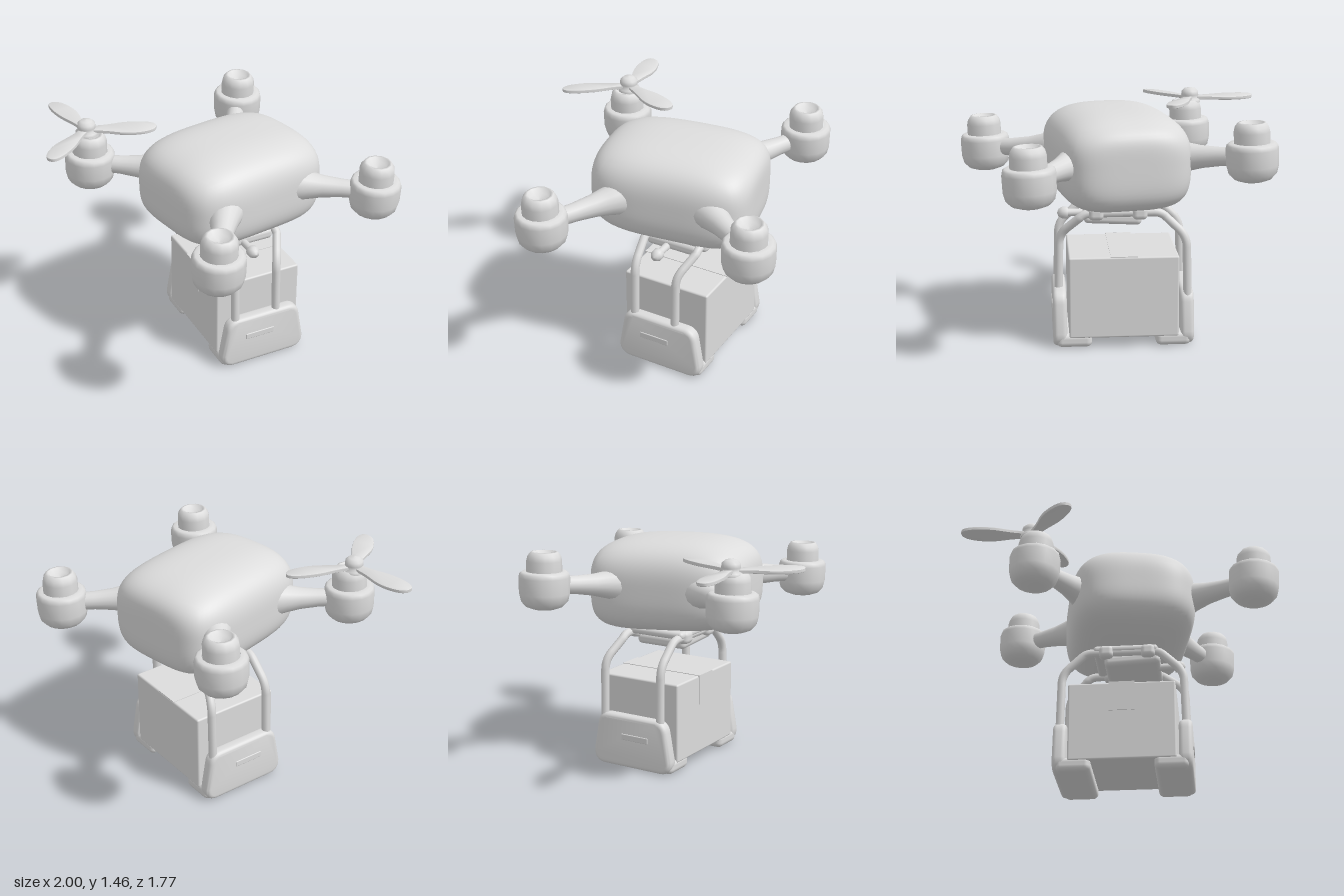
import * as THREE from 'three';
import { mergeVertices, toCreasedNormals } from 'three/addons/utils/BufferGeometryUtils.js';
import { RoundedBoxGeometry } from 'three/addons/geometries/RoundedBoxGeometry.js';

const V2 = (x, y) => new THREE.Vector2(x, y);
const V3 = (x, y, z) => new THREE.Vector3(x, y, z);

export function createModel() {
  const model = new THREE.Group();
  const grey = new THREE.MeshStandardMaterial({ color: 0xdcdcdc });
  grey.name = 'light grey';

  const add = (parent, name, geo, x = 0, y = 0, z = 0) => {
    const mesh = new THREE.Mesh(geo, grey);
    mesh.name = name;
    mesh.position.set(x, y, z);
    parent.add(mesh);
    return mesh;
  };
  const lathe = (pts, seg) => new THREE.LatheGeometry(pts.map(p => V2(p[0], p[1])), seg);

  // Body: a cube pushed out to a soft superellipsoid, rounder on top, belly sloping down to the tail
  let body = new THREE.BoxGeometry(2, 2, 2, 20, 20, 20);
  body.deleteAttribute('normal');
  body.deleteAttribute('uv');
  body = mergeVertices(body);
  const pos = body.attributes.position;
  for (let i = 0; i < pos.count; i++) {
    const p = V3().fromBufferAttribute(pos, i).normalize();
    const [ax, ay, az] = [Math.abs(p.x), Math.abs(p.y), Math.abs(p.z)];
    const n = p.y > 0 ? 2.9 : 3.8;
    const m = p.z > 0 ? 3.8 : 4.6;
    const cross = Math.pow(ax ** n + ay ** n, m / n);
    p.divideScalar(Math.pow(cross + az ** m, 1 / m));
    const slope = p.y > 0 ? p.y * (0.012 * p.z - 0.03 * p.z * p.z) : -p.y * 0.025 * p.z;
    pos.setXYZ(i, p.x * 0.407, p.y * 0.293 + slope, p.z * 0.515);
  }
  body.computeVertexNormals();
  add(model, 'body', body, 0.124, 1.177, -0.105);

  // Motors on flared arms: motor x, base y, z, then arm root x, z
  const motors = [
    ['frontLeft', 0.83, 0.985, 0.52, 0.38, 0.11],
    ['frontRight', -0.54, 1.035, 0.49, -0.13, 0.1],
    ['backLeft', 0.78, 1.005, -0.73, 0.38, -0.32],
    ['backRight', -0.57, 1.08, -0.72, -0.12, -0.32],
  ];
  const cup = lathe([[0, 0], [0.07, 0.002], [0.115, 0.018], [0.145, 0.05], [0.157, 0.1], [0.159, 0.2],
    [0.152, 0.225], [0.138, 0.235], [0.112, 0.236]], 16);
  const cap = lathe([[0.11, 0.22], [0.11, 0.3], [0.103, 0.33], [0.085, 0.355], [0.07, 0.357],
    [0.055, 0.33], [0, 0.32]], 12);
  for (const [side, x, y, z, rx, rz] of motors) {
    const motor = new THREE.Group();
    motor.name = side + 'Motor';
    motor.position.set(x, y, z);
    motor.rotation.z = -0.04;
    add(motor, 'motorCup', cup);
    add(motor, 'motorCap', cap);
    model.add(motor);

    const from = V3(rx, 1.175, rz), dir = V3(x, y + 0.15, z).sub(from);
    const len = dir.length();
    const arm = add(model, side + 'Arm', lathe([[0.125, 0], [0.108, len * 0.18], [0.088, len * 0.3],
      [0.07, len * 0.45], [0.058, len * 0.65], [0.052, len]], 16), from.x, from.y, from.z);
    arm.quaternion.setFromUnitVectors(V3(0, 1, 0), dir.normalize());
  }

  // Propeller with three blades
  const propeller = new THREE.Group();
  propeller.name = 'propeller';
  propeller.position.set(-0.56, 1.405, 0.488);
  add(propeller, 'propellerHub', lathe([[0.07, -0.03], [0.07, -0.01], [0.052, 0], [0.058, 0.02], [0.056, 0.045],
    [0.035, 0.064], [0, 0.07]], 16));
  const outline = new THREE.Shape();
  outline.moveTo(0.02, -0.025);
  outline.bezierCurveTo(0.16, -0.03, 0.19, -0.068, 0.29, -0.066);
  outline.bezierCurveTo(0.38, -0.06, 0.435, -0.04, 0.435, 0.01);
  outline.bezierCurveTo(0.43, 0.06, 0.31, 0.06, 0.25, 0.056);
  outline.bezierCurveTo(0.17, 0.05, 0.14, 0.025, 0.02, 0.025);
  const blade = toCreasedNormals(new THREE.ExtrudeGeometry(outline, {
    depth: 0.01, bevelSize: 0.004, bevelThickness: 0.006, bevelSegments: 2, curveSegments: 10,
  }).translate(0, 0, -0.005).rotateX(-Math.PI / 2 + 0.08), 0.7);
  for (let i = 0; i < 3; i++) {
    add(propeller, 'propellerBlade', blade).rotation.y = Math.PI - 0.05 + i * Math.PI * 2 / 3;
  }
  model.add(propeller);

  // Cargo assembly, turned slightly under the body
  const cargo = new THREE.Group();
  cargo.name = 'cargo';
  cargo.position.set(0.1, 0, -0.175);
  cargo.rotation.y = -0.19;
  model.add(cargo);

  // Parcel with tape over the top and down the front
  add(cargo, 'parcel', new RoundedBoxGeometry(0.68, 0.515, 0.585, 2, 0.012), 0, 0.333, 0);
  add(cargo, 'frontTape', new THREE.BoxGeometry(0.165, 0.195, 0.008), 0, 0.497, 0.294);
  add(cargo, 'topTape', new THREE.BoxGeometry(0.165, 0.006, 0.585), 0, 0.591, 0);

  // Side clamps: a rounded, tapering wall with a foot reaching under the parcel
  const wallShape = new THREE.Shape();
  wallShape.moveTo(-0.21, 0.04);
  wallShape.lineTo(0.21, 0.04);
  wallShape.quadraticCurveTo(0.268, 0.04, 0.264, 0.1);
  wallShape.lineTo(0.232, 0.28);
  wallShape.quadraticCurveTo(0.225, 0.33, 0.18, 0.33);
  wallShape.lineTo(-0.18, 0.33);
  wallShape.quadraticCurveTo(-0.225, 0.33, -0.232, 0.28);
  wallShape.lineTo(-0.264, 0.1);
  wallShape.quadraticCurveTo(-0.268, 0.04, -0.21, 0.04);
  const wall = toCreasedNormals(new THREE.ExtrudeGeometry(wallShape, {
    depth: 0.03, bevelSize: 0.028, bevelThickness: 0.028, bevelSegments: 5, curveSegments: 6,
  }).translate(0, 0, -0.015).rotateY(-Math.PI / 2), 0.7);
  for (const s of [1, -1]) {
    const name = s > 0 ? 'left' : 'right';
    add(cargo, name + 'ClampWall', wall, s * 0.395, 0, 0);
    add(cargo, name + 'ClampFoot', new RoundedBoxGeometry(0.22, 0.09, 0.58, 4, 0.035), s * 0.308, 0.057, 0);
    add(cargo, name + 'GripPlate', new RoundedBoxGeometry(0.012, 0.04, 0.2, 2, 0.005), s * 0.437, 0.22, 0.03);
  }

  // Bent rods from the clamps to the mount: side, foot z, top z
  const rods = [[1, 0.19, 0.2], [1, -0.1, -0.17], [-1, 0.2, 0.2], [-1, -0.22, -0.17]];
  for (const [s, footZ, topZ] of rods) {
    const mid = (footZ * 2 + topZ) / 3;
    const path = new THREE.CurvePath();
    const a = V3(s * 0.4, 0.3, footZ), b = V3(s * 0.392, 0.63, footZ), c = V3(s * 0.392, 0.69, footZ);
    const d = V3(s * 0.35, 0.735, mid), e = V3(s * 0.26, 0.818, topZ), f = V3(s * 0.235, 0.842, topZ);
    path.add(new THREE.LineCurve3(a, b));
    path.add(new THREE.QuadraticBezierCurve3(b, c, d));
    path.add(new THREE.LineCurve3(d, e));
    path.add(new THREE.QuadraticBezierCurve3(e, f, V3(s * 0.19, 0.842, topZ)));
    path.add(new THREE.LineCurve3(V3(s * 0.19, 0.842, topZ), V3(0, 0.842, topZ)));
    add(cargo, 'hangerRod', new THREE.TubeGeometry(path, 48, 0.027, 10));
  }

  // Mount: clips around the rods, plates, and the release knob
  for (const z of [0.2, -0.17]) {
    for (const x of [-0.105, 0.165]) {
      add(cargo, 'rodClip', new RoundedBoxGeometry(0.095, 0.085, 0.085, 3, 0.03), x, 0.842, z);
    }
  }
  add(cargo, 'mountPlate', new RoundedBoxGeometry(0.42, 0.05, 0.42, 4, 0.024), 0.02, 0.86, 0.02);
  add(cargo, 'mountBlock', new RoundedBoxGeometry(0.3, 0.07, 0.28, 2, 0.02), 0.02, 0.89, 0.02);
  const pan = add(cargo, 'mountPan', new RoundedBoxGeometry(0.36, 0.075, 0.36, 4, 0.03), 0.06, 0.8, 0.02);
  pan.rotation.z = 0.05;
  const knob = add(cargo, 'releaseKnob', lathe([[0.024, 0], [0.024, 0.15], [0.038, 0.155], [0.038, 0.185],
    [0.025, 0.21], [0, 0.22]], 14), 0.18, 0.795, 0.05);
  knob.rotation.z = -Math.PI / 2;

  return model;
}
